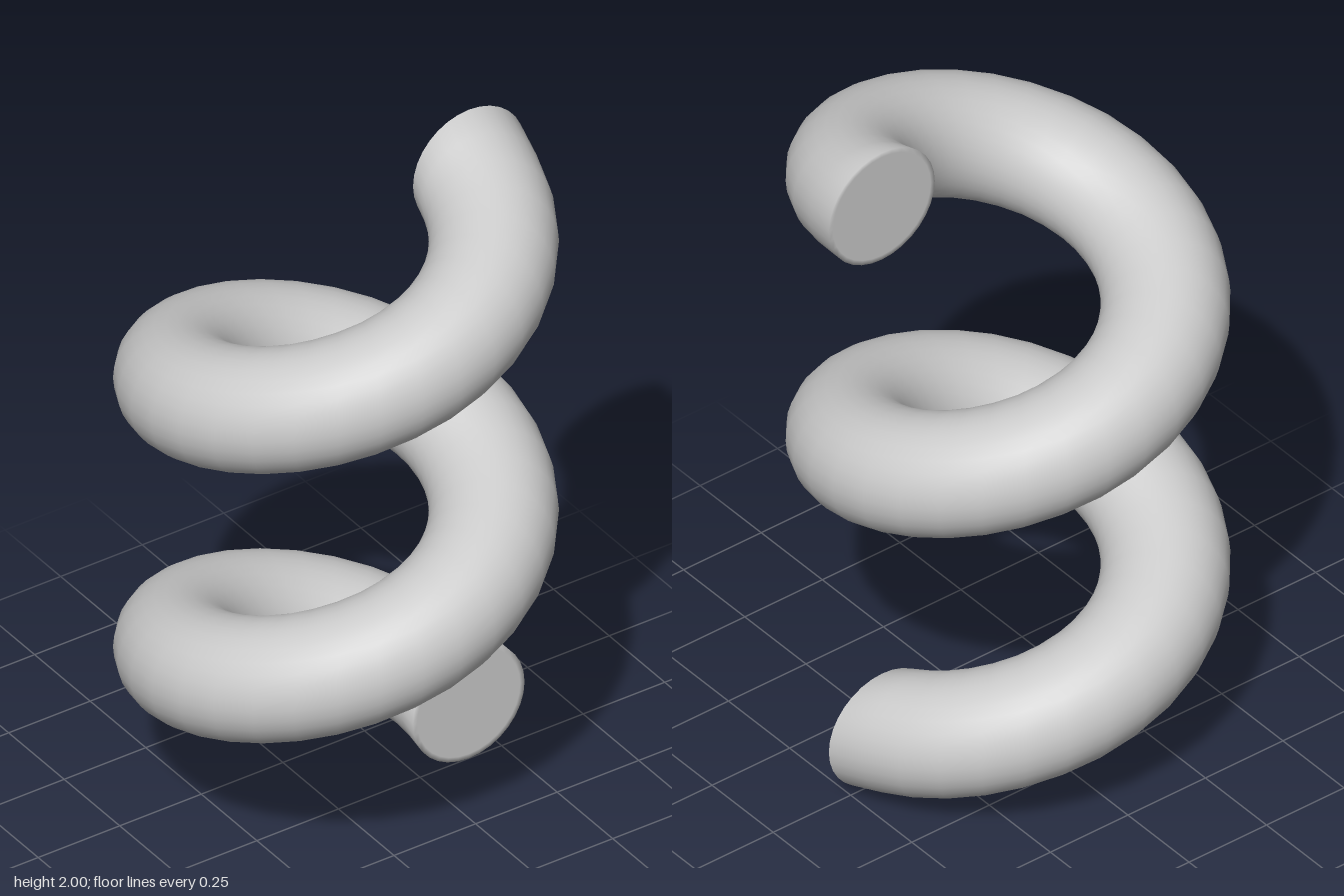
import * as THREE from 'three';

const TURNS = 2, STEPS = 64, SIDES = 32;
const Y0 = 0.17, Y1 = 1.83, CENTRE_X = -0.0075;

// Coiled bar: an upright round section swept along a helix, with flat end caps
function coilGeometry() {
  const pos = [], index = [];

  // One ring of the section at step i; the ends are slightly fuller
  const addRing = (i, scale) => {
    const t = i / STEPS, a = t * TURNS * Math.PI * 2;
    const end = i === 0 || i === STEPS;
    const R = end ? 0.407 : 0.4, rx = end ? 0.171 : 0.165, ry = 0.17;
    for (let j = 0; j < SIDES; j++) {
      const b = (j / SIDES) * Math.PI * 2;
      const d = R + rx * scale * Math.cos(b);
      pos.push(CENTRE_X + d * Math.cos(a), Y0 + (Y1 - Y0) * t + ry * scale * Math.sin(b), -d * Math.sin(a));
    }
  };

  // Cap rings just inside each rim keep the cap faces flat with a soft rim
  addRing(0, 0);
  addRing(0, 0.92);
  for (let i = 0; i <= STEPS; i++) addRing(i, 1);
  addRing(STEPS, 0.92);
  addRing(STEPS, 0);

  const rows = STEPS + 5;
  for (let i = 0; i < rows - 1; i++) {
    for (let j = 0; j < SIDES; j++) {
      const k = (j + 1) % SIDES;
      const a = i * SIDES + j, b = i * SIDES + k;
      const c = a + SIDES, d = b + SIDES;
      if (i < rows - 2) index.push(a, c, d);
      else index.push(a, c, b);
      if (i > 0 && i < rows - 2) index.push(a, d, b);
    }
  }

  const geo = new THREE.BufferGeometry();
  geo.setAttribute('position', new THREE.Float32BufferAttribute(pos, 3));
  geo.setIndex(index);
  geo.computeVertexNormals();
  return geo;
}

export function createModel() {
  const group = new THREE.Group();
  group.name = 'coilSpring';
  const coil = new THREE.Mesh(coilGeometry(), new THREE.MeshStandardMaterial({ color: 0xcccccc }));
  coil.name = 'coil';
  group.add(coil);
  return group;
}
